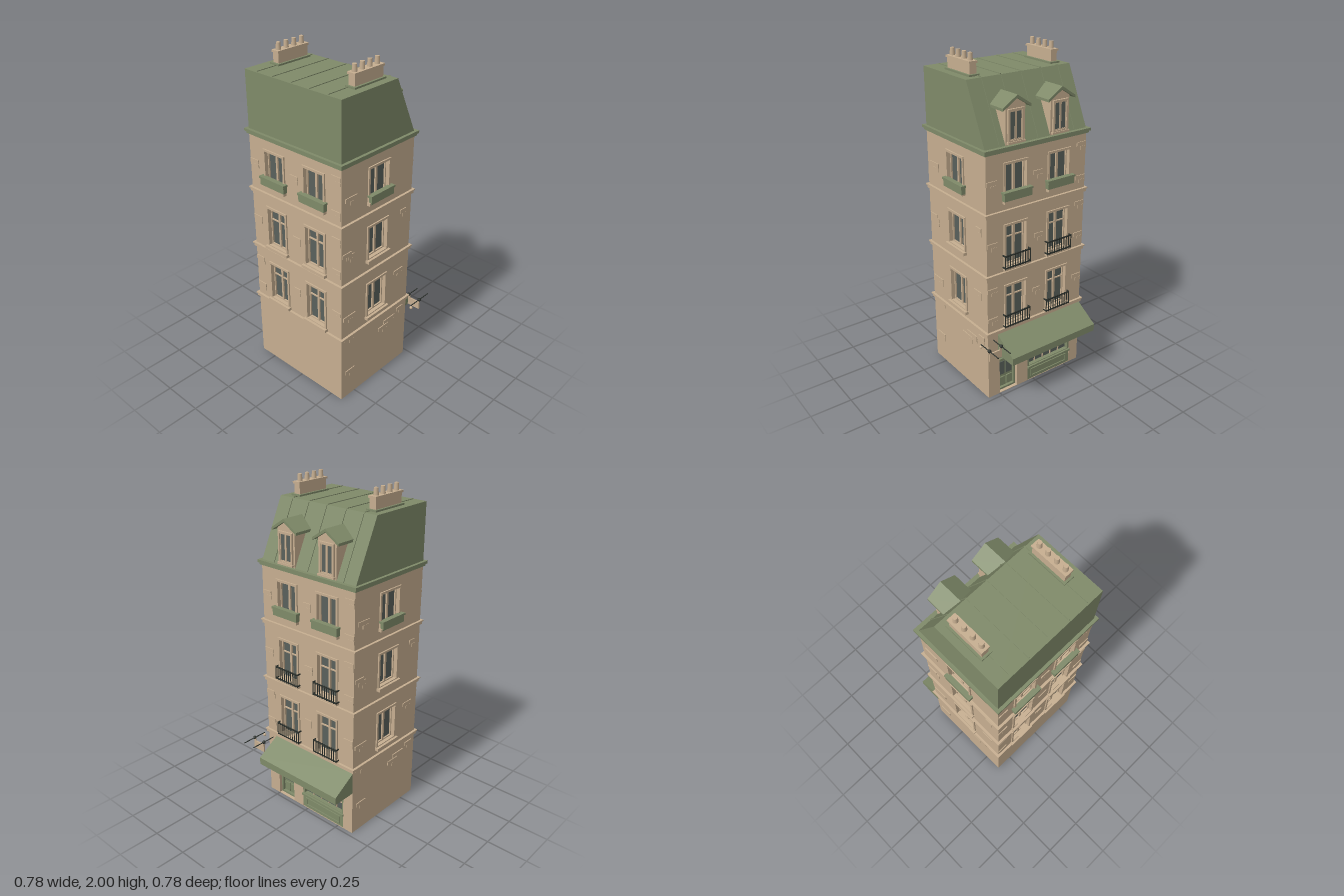
import * as THREE from 'three';

const mat = (name, color, side = THREE.FrontSide) => {
  const m = new THREE.MeshStandardMaterial({ color, side });
  m.name = name;
  return m;
};

export function createModel() {
  const stone = mat('stone', 0xc6ae90);
  const green = mat('green', 0x7f8a69);
  const glass = mat('glass', 0x59605b);
  const iron = mat('iron', 0x2b302b);

  const model = new THREE.Group();
  model.name = 'townhouse';
  const CX = -0.07, CZ = -0.015, HX = 0.293, HZ = 0.345, TOP = 1.525, T = 0.05;

  const add = (parent, name, geo, material, x = 0, y = 0, z = 0) => {
    const m = new THREE.Mesh(geo, material);
    m.name = name;
    m.position.set(x, y, z);
    parent.add(m);
    return m;
  };
  const box = (parent, name, material, w, h, d, x, y, z) =>
    add(parent, name, new THREE.BoxGeometry(w, h, d), material, x, y, z);
  const shapeOf = pts => new THREE.Shape(pts.map(p => new THREE.Vector2(...p)));
  const rect = (u, y0, w, h) => [[u - w / 2, y0], [u + w / 2, y0], [u + w / 2, y0 + h], [u - w / 2, y0 + h]];
  const extrude = (shape, depth) => new THREE.ExtrudeGeometry(shape, { depth, bevelEnabled: false });

  // Rectangular ring of four bars, centred on u, rising from y0
  const ring = (parent, name, material, u, y0, w, h, bar, z0, depth) => {
    const s = shapeOf(rect(u, y0, w, h));
    s.holes.push(new THREE.Path(shapeOf(rect(u, y0 + bar, w - 2 * bar, h - 2 * bar)).getPoints()));
    return add(parent, name, extrude(s, depth), material, 0, 0, z0);
  };

  // Each wall gets a local frame: x along the wall, y up, z outward
  const wallGroup = (name, turn, dist, half, openings) => {
    const g = new THREE.Group();
    g.name = name;
    g.rotation.y = turn;
    g.position.set(CX + Math.sin(turn) * dist, 0, CZ + Math.cos(turn) * dist);
    model.add(g);
    const s = shapeOf(rect(0, 0, half * 2, TOP));
    for (const o of openings) s.holes.push(new THREE.Path(shapeOf(rect(...o)).getPoints()));
    add(g, 'wall', extrude(s, T), stone, 0, 0, -T);
    return g;
  };

  // Recessed casement window with surround and sill
  const windowUnit = (g, u, y0, w, h, cross) => {
    box(g, 'windowGlass', glass, w, h, 0.006, u, y0 + h / 2, -0.03);
    ring(g, 'windowSurround', stone, u, y0 - 0.01, w + 0.024, h + 0.02, 0.013, -0.004, 0.012);
    for (const s of [-1, 1])
      ring(g, 'casement', stone, u + s * w / 4, y0, w / 2, h, 0.007, -0.027, 0.01);
    if (cross) box(g, 'transomBar', stone, w, 0.007, 0.008, u, y0 + h * 0.68, -0.022);
    box(g, 'sill', stone, w + 0.036, 0.018, 0.03, u, y0 - 0.012, 0.008);
  };

  const flowerBox = (g, u, y) => {
    box(g, 'flowerBox', green, 0.185, 0.045, 0.027, u, y, 0.0135);
    box(g, 'flowerBoxRim', green, 0.195, 0.012, 0.031, u, y + 0.023, 0.0155);
  };

  const railing = (g, u, y) => {
    const w = 0.175, d = 0.024;
    for (const h of [0.012, 0.085]) {
      box(g, 'rail', iron, w, 0.007, 0.006, u, y + h, d);
      for (const s of [-1, 1]) box(g, 'railReturn', iron, 0.006, 0.007, d, u + s * w / 2, y + h, d / 2);
    }
    for (let i = 0; i <= 10; i++)
      box(g, 'railBar', iron, 0.004, 0.088, 0.004, u - w / 2 + i * w / 10, y + 0.048, d);
  };

  // Solid core behind the pierced walls
  box(model, 'core', stone, 2 * (HX - T), TOP, 2 * (HZ - T), CX, TOP / 2, CZ);

  const tall = [[0.475, 0.245], [0.85, 0.245], [1.25, 0.2]];
  const single = [[0.505, 0.215], [0.895, 0.2], [1.26, 0.19]];
  const pair = [];
  for (const u of [-0.15, 0.15]) for (const [y, h] of tall) pair.push([u, y, 0.14, h]);
  const one = single.map(([y, h]) => [0, y, 0.155, h]);
  const door = [-0.2, 0.003, 0.13, 0.28], shop = [0.11, 0.003, 0.33, 0.28];

  // Side gables with one window per floor
  const gables = [wallGroup('frontWall', 0, HZ, HX, one), wallGroup('backWall', Math.PI, HZ, HX, one)];
  for (const g of gables) {
    one.forEach(o => windowUnit(g, ...o, false));
    flowerBox(g, 0.005, 1.27);
  }

  // Street facade and rear facade with two windows per floor
  const street = wallGroup('streetWall', Math.PI / 2, HX, HZ, [...pair, door, shop]);
  const rear = wallGroup('rearWall', -Math.PI / 2, HX, HZ, pair);
  for (const g of [street, rear]) {
    pair.forEach(o => windowUnit(g, ...o, o[1] < 1.2));
    for (const u of [-0.15, 0.15]) flowerBox(g, u, 1.27);
  }
  for (const u of [-0.15, 0.15]) for (const y of [0.455, 0.835]) railing(street, u, y);

  // Shop door
  box(street, 'doorLeaf', green, 0.13, 0.28, 0.012, -0.2, 0.143, -0.043);
  ring(street, 'doorFrame', green, -0.2, 0.003, 0.13, 0.28, 0.012, -0.04, 0.02);
  box(street, 'doorTransomBar', green, 0.13, 0.014, 0.02, -0.2, 0.215, -0.03);
  box(street, 'doorTransomGlass', glass, 0.1, 0.045, 0.006, -0.2, 0.246, -0.036);
  for (const s of [-1, 1]) {
    box(street, 'doorGlass', glass, 0.042, 0.09, 0.006, -0.2 + s * 0.026, 0.145, -0.036);
    box(street, 'doorPanel', green, 0.042, 0.06, 0.008, -0.2 + s * 0.026, 0.052, -0.034);
  }

  // Shop window with glazing bars
  box(street, 'shopPanel', green, 0.33, 0.09, 0.04, 0.11, 0.048, -0.022);
  ring(street, 'shopPanelMoulding', green, 0.11, 0.02, 0.28, 0.055, 0.008, -0.002, 0.006);
  box(street, 'shopSill', green, 0.335, 0.012, 0.05, 0.11, 0.095, -0.015);
  box(street, 'shopGlass', glass, 0.33, 0.19, 0.006, 0.11, 0.19, -0.03);
  ring(street, 'shopFrame', green, 0.11, 0.093, 0.33, 0.19, 0.012, -0.03, 0.028);
  for (let i = 1; i < 5; i++)
    box(street, 'shopBar', stone, 0.006, 0.17, 0.008, -0.045 + i * 0.062, 0.188, -0.024);
  for (const y of [0.16, 0.22]) box(street, 'shopBar', stone, 0.306, 0.006, 0.008, 0.11, y, -0.024);

  // Awning wedge over the shopfront
  add(model, 'awning', extrude(shapeOf([[0.215, 0.285], [0.37, 0.285], [0.37, 0.33], [0.215, 0.425]]), 0.622),
    green, 0, 0, -0.36);

  // String courses and cornice
  for (const y of [0.437, 0.803, 1.175]) {
    box(model, 'stringCourse', stone, 2 * HX + 0.018, 0.02, 2 * HZ + 0.018, CX, y, CZ);
    box(model, 'stringCourseLip', stone, 2 * HX + 0.03, 0.008, 2 * HZ + 0.03, CX, y + 0.012, CZ);
  }
  box(model, 'corniceBed', green, 2 * HX + 0.02, 0.014, 2 * HZ + 0.02, CX, 1.526, CZ);
  box(model, 'cornice', green, 2 * HX + 0.036, 0.016, 2 * HZ + 0.036, CX, 1.54, CZ);

  // Mansard roof, sloping on the street side only
  add(model, 'roof', extrude(shapeOf([[-0.363, 1.53], [0.226, 1.53], [0.06, 1.882], [-0.363, 1.882]]), 0.69),
    green, 0, 0, -0.36);
  const slope = Math.atan2(0.352, -0.166);
  for (const z of [-0.275, -0.155, -0.02, 0.11, 0.235]) {
    box(model, 'roofSeam', green, 0.41, 0.006, 0.005, -0.15, 1.883, z);
    box(model, 'slopeSeam', green, 0.38, 0.008, 0.005, 0.143, 1.706, z).rotation.z = slope;
  }

  // Dormers
  for (const u of [-0.15, 0.15]) {
    const d = new THREE.Group();
    d.name = 'dormer';
    d.position.set(u, 0, 0);
    street.add(d);
    const wall = shapeOf([[-0.064, 1.545], [0.064, 1.545], [0.064, 1.755], [0, 1.795], [-0.064, 1.755]]);
    add(d, 'dormerWalls', extrude(wall, 0.14), stone, 0, 0, -0.145);
    const roof = shapeOf([[-0.092, 1.738], [0, 1.795], [0.092, 1.738], [0.092, 1.753], [0, 1.813], [-0.092, 1.753]]);
    add(d, 'dormerRoof', extrude(roof, 0.16), green, 0, 0, -0.147);
    box(d, 'dormerGlass', glass, 0.084, 0.16, 0.004, 0, 1.65, -0.004);
    ring(d, 'dormerSurround', stone, 0, 1.562, 0.104, 0.178, 0.011, -0.005, 0.012);
    for (const s of [-1, 1])
      ring(d, 'dormerCasement', stone, s * 0.021, 1.572, 0.042, 0.158, 0.006, -0.004, 0.006);
    box(d, 'dormerSill', stone, 0.115, 0.012, 0.02, 0, 1.56, 0.002);
  }

  // Chimney stacks with pots
  for (const z of [0.252, -0.288]) {
    box(model, 'chimneyFlashing', green, 0.24, 0.012, 0.066, -0.098, 1.886, z);
    box(model, 'chimneyStack', stone, 0.215, 0.075, 0.042, -0.098, 1.918, z);
    box(model, 'chimneyCap', stone, 0.228, 0.012, 0.052, -0.098, 1.954, z);
    for (let i = 0; i < 4; i++)
      add(model, 'chimneyPot', new THREE.CylinderGeometry(0.012, 0.015, 0.045, 12), stone,
        -0.185 + i * 0.0567, 1.9775, z);
  }

  // Hanging sign on two rods at the corner
  for (const [z, x0] of [[0.295, 0.22], [0.377, 0.22]]) {
    const rod = add(model, 'signRod', new THREE.CylinderGeometry(0.003, 0.003, 0.39 - x0, 8), iron, (0.39 + x0) / 2, 0.396, z);
    rod.rotation.z = Math.PI / 2;
    add(model, 'signKnob', new THREE.SphereGeometry(0.011, 12, 8), iron, 0.303, 0.396, z);
  }
  box(model, 'signBoard', stone, 0.009, 0.05, 0.085, 0.303, 0.352, 0.336);
  for (const z of [0.3, 0.372]) box(model, 'signHanger', stone, 0.007, 0.03, 0.012, 0.303, 0.38, z);
  add(model, 'signBall', new THREE.SphereGeometry(0.01, 12, 8), stone, 0.22, 0.38, 0.378);

  // Exposed stones in low relief: [along wall, height, width]
  const gableStones = [[-0.22, 1.33, 0.09], [-0.25, 1, 0.07], [0.22, 1.08, 0.05], [-0.22, 0.98, 0.05], [0.2, 0.68, 0.08],
    [-0.23, 0.58, 0.1], [0.08, 0.33, 0.1], [0.13, 0.36, 0.1], [-0.22, 0.43, 0.1], [-0.22, 0.18, 0.08], [0.23, 0.39, 0.06]];
  const streetStones = [[0, 1.36, 0.06], [0.01, 0.98, 0.06], [0, 0.63, 0.05]];
  for (const y of [0.53, 0.62, 0.72, 0.9, 1, 1.1, 1.26, 1.36, 1.46])
    streetStones.push([y * 50 % 2 < 1 ? -0.31 : 0.31, y, 0.066]);
  const stones = (g, list) => list.forEach(([u, y, w]) => {
    box(g, 'wallStone', stone, w, 0.025, 0.01, u, y, 0);
    box(g, 'wallStone', stone, w * 0.6, 0.022, 0.008, u + w * 0.2, y - 0.025, 0);
  });
  gables.forEach(g => stones(g, gableStones));
  [street, rear].forEach(g => stones(g, streetStones));

  return model;
}
